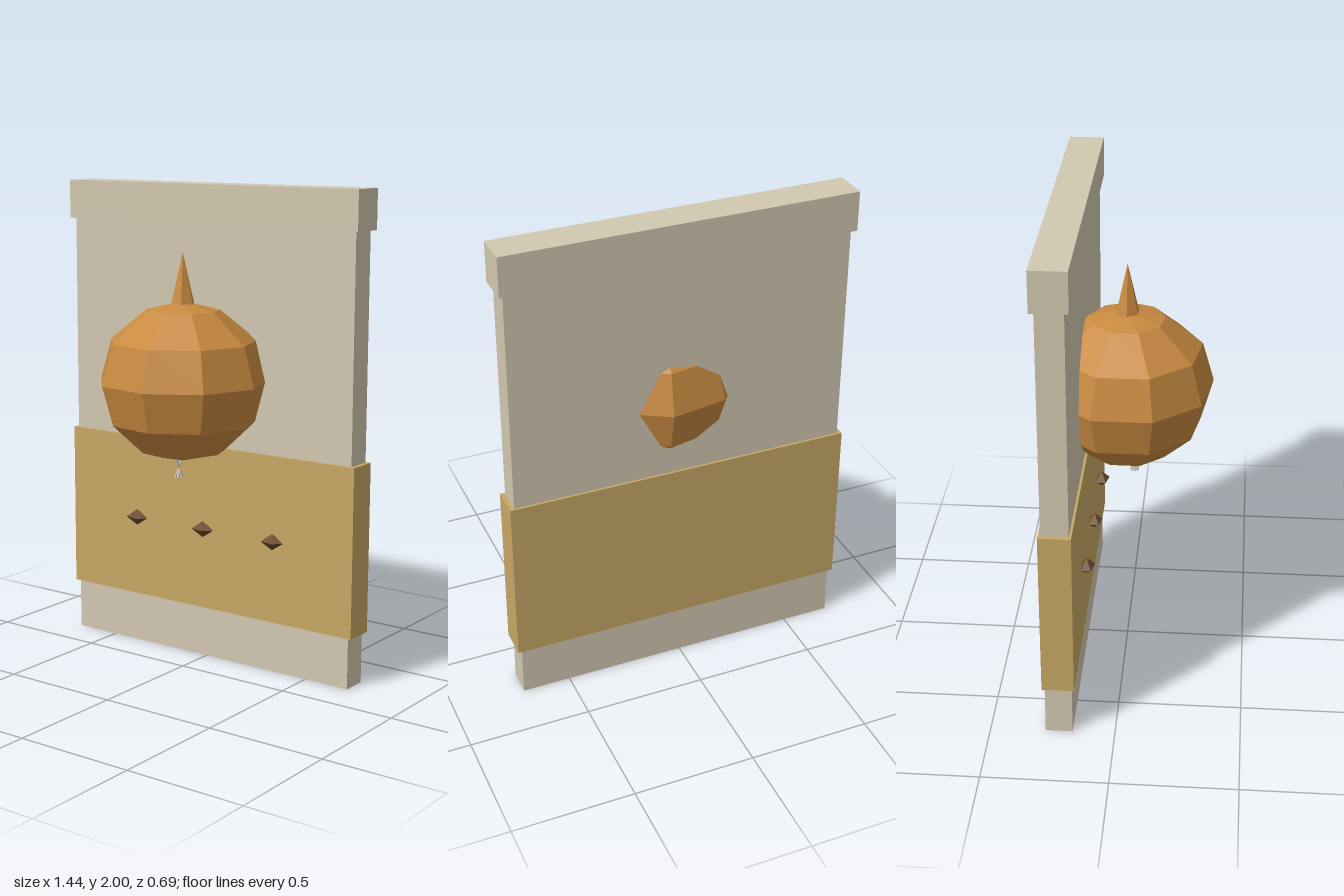
import * as THREE from 'three';

const mat = (name, color, extra = {}) => {
  const m = new THREE.MeshStandardMaterial({ color, flatShading: true, ...extra });
  m.name = name;
  return m;
};

export function createModel() {
  const group = new THREE.Group();
  const stone = mat('pale stone', 0xd2c8b0);
  const ochre = mat('ochre', 0xc7a865);
  const orange = mat('burnt orange', 0xc88a40);
  const brown = mat('dark brown', 0x6b4a2c);
  const straw = mat('pale fibre', 0xcdc6b8);

  const add = (name, geometry, material, x = 0, y = 0, z = 0) => {
    const mesh = new THREE.Mesh(geometry, material);
    mesh.name = name;
    mesh.position.set(x, y, z);
    group.add(mesh);
    return mesh;
  };
  // Box given by its full width, bottom, top, back and front
  const slab = (name, material, w, y0, y1, z0, z1) =>
    add(name, new THREE.BoxGeometry(w, y1 - y0, z1 - z0), material, 0, (y0 + y1) / 2, (z0 + z1) / 2);

  // Upright panel with a top rail and a wide coloured band
  slab('panel', stone, 1.40, 0, 1.9, -0.278, -0.17);
  slab('topRail', stone, 1.436, 1.838, 2, -0.295, -0.152);
  slab('band', ochre, 1.436, 0.215, 0.918, -0.288, -0.16);

  // Nine-sided globe set through the panel
  const profile = [
    [0, 0.885], [0.175, 0.929], [0.303, 1.05], [0.35, 1.215],
    [0.303, 1.38], [0.152, 1.504], [0, 1.54],
  ].map(([r, y]) => new THREE.Vector2(r, y));
  add('globe', new THREE.LatheGeometry(profile, 9, Math.PI / 2), orange);

  // Pointed finial
  const spire = add('spire', new THREE.ConeGeometry(0.05, 0.205, 6), orange, 0, 1.633, 0);
  spire.rotation.y = Math.PI / 6;

  // Tuft of thin strands crossing below the globe
  const tuft = new THREE.Group();
  tuft.name = 'tuft';
  tuft.position.set(0, 0.858, 0.028);
  for (let i = 0; i < 6; i++) {
    const a = (i / 6) * Math.PI * 2;
    const strand = new THREE.Mesh(new THREE.CylinderGeometry(0.003, 0.005, 0.085, 5), straw);
    strand.name = 'strand';
    const dir = new THREE.Vector3(Math.cos(a) * 0.4, -1, Math.sin(a) * 0.4).normalize();
    strand.quaternion.setFromUnitVectors(new THREE.Vector3(0, -1, 0), dir);
    tuft.add(strand);
  }
  group.add(tuft);

  // Three faceted studs on the band
  for (const x of [-0.35, 0, 0.35]) {
    const stud = add('stud', new THREE.SphereGeometry(0.035, 5, 2), brown, x, 0.565, -0.14);
    stud.scale.x = 1.5;
    stud.rotation.x = Math.PI; // keeps the pointed side to the left of +x
    stud.scale.x = -1.5;
  }
  return group;
}
